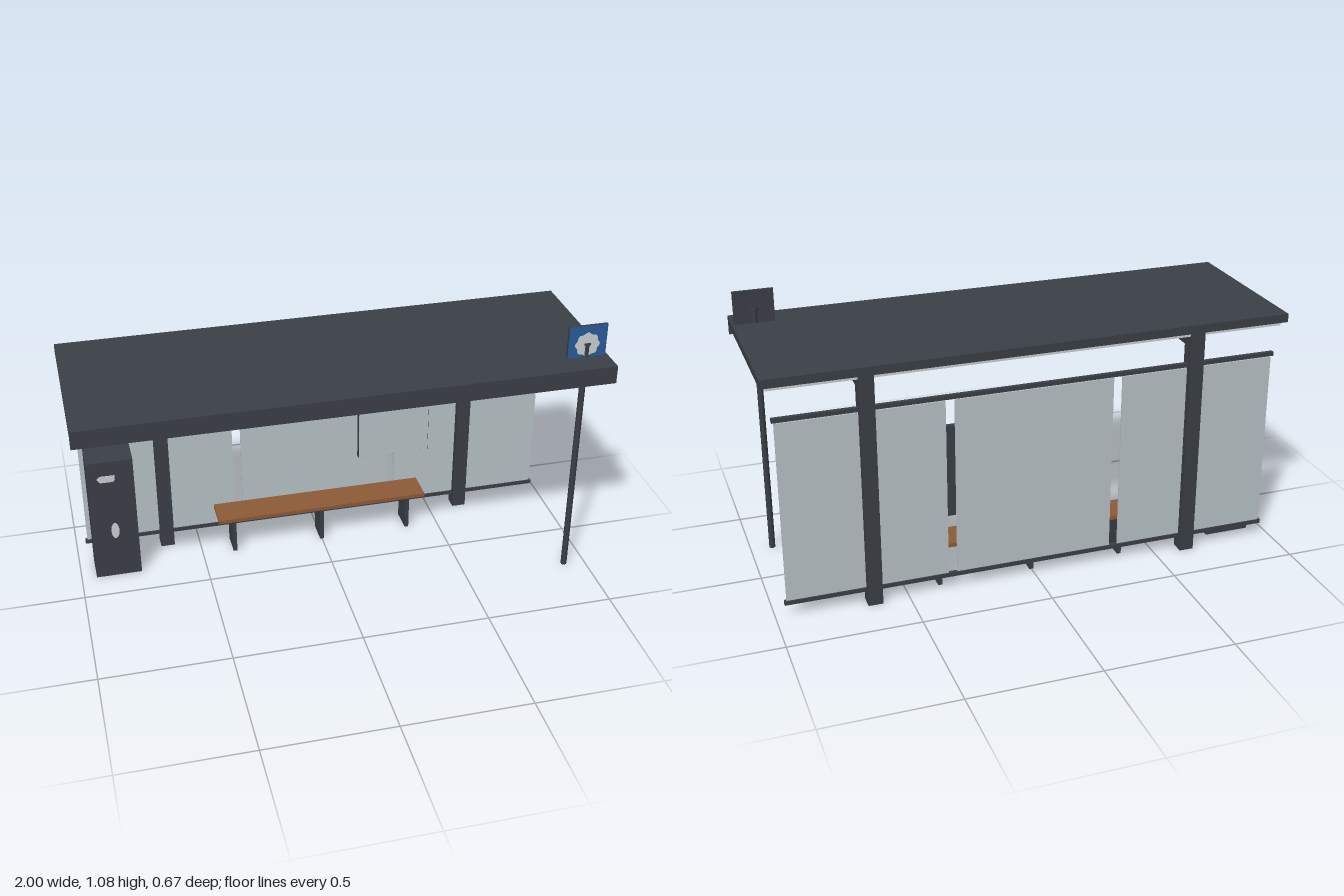
import * as THREE from 'three';

const material = (name, color) => {
  const m = new THREE.MeshStandardMaterial({ color });
  m.name = name;
  return m;
};

export function createModel() {
  const group = new THREE.Group();
  const steel = material('dark steel', 0x3b4047);
  const glass = material('frosted glass', 0xb9c4c8);
  const pale = material('pale panel', 0xcdd2d4);
  const blue = material('blue panel', 0x2a5c9c);
  const wood = material('wood', 0x8f5c38);

  const add = (name, geometry, mat) => {
    const mesh = new THREE.Mesh(geometry, mat);
    mesh.name = name;
    group.add(mesh);
    return mesh;
  };
  // Box given by its limits on each axis
  const box = (name, mat, [x0, x1], [y0, y1], [z0, z1]) => {
    const mesh = add(name, new THREE.BoxGeometry(x1 - x0, y1 - y0, z1 - z0), mat);
    mesh.position.set((x0 + x1) / 2, (y0 + y1) / 2, (z0 + z1) / 2);
    return mesh;
  };
  // Thin flat plate cut from a shape, facing front
  const plate = (name, mat, shape, x, y, z) => {
    const geometry = new THREE.ExtrudeGeometry(shape, { depth: 0.003, bevelEnabled: false, curveSegments: 10 });
    add(name, geometry, mat).position.set(x, y, z);
  };
  const ellipse = (rx, ry) => new THREE.Shape().absellipse(0, 0, rx, ry, 0, Math.PI * 2);

  // Roof with front lip and inset ceiling
  box('roof', steel, [-1, 1], [0.917, 0.95], [-0.337, 0.337]);
  box('roofFrontLip', steel, [-1, 1], [0.88, 0.918], [0.321, 0.337]);
  box('ceiling', pale, [-0.98, 0.98], [0.901, 0.917], [-0.32, 0.313]);

  // Posts and roof beams
  for (const x of [-0.632, 0.632]) {
    box('post', steel, [x - 0.028, x + 0.028], [0, 0.917], [-0.33, -0.275]);
    box('roofBeam', steel, [x - 0.022, x + 0.022], [0.853, 0.902], [-0.28, 0.27]);
  }

  // Back wall: rails and glass panes
  for (const y of [0.059, 0.783]) {
    box('wallRail', steel, [-0.965, 0.965], [y - 0.008, y + 0.008], [-0.31, -0.294]);
  }
  for (const [x0, x1] of [[-0.957, -0.342], [-0.308, 0.308], [0.342, 0.957]]) {
    box('glassPane', glass, [x0, x1], [0.067, 0.77], [-0.305, -0.299]);
  }

  // Timetable case
  box('timetableCase', steel, [0.182, 0.482], [0.304, 0.667], [-0.299, -0.281]);
  box('timetableSheet', glass, [0.184, 0.48], [0.306, 0.622], [-0.282, -0.278]);
  box('timetableHeader', blue, [0.183, 0.481], [0.622, 0.666], [-0.282, -0.278]);

  // Bench
  box('benchSeat', wood, [-0.433, 0.433], [0.157, 0.173], [-0.274, -0.148]);
  for (const x of [-0.367, 0, 0.367]) {
    box('benchLeg', steel, [x - 0.008, x + 0.008], [0, 0.157], [-0.271, -0.172]);
  }

  // Free-standing cabinet with two pale marks on its front
  box('cabinet', steel, [-0.941, -0.76], [0, 0.533], [-0.247, -0.122]);
  const slot = new THREE.Shape();
  slot.moveTo(-0.035, 0.002);
  slot.lineTo(-0.022, 0.014);
  slot.lineTo(0.035, 0.014);
  slot.lineTo(0.035, -0.006);
  slot.lineTo(0.026, -0.014);
  slot.lineTo(-0.022, -0.014);
  plate('cabinetSlot', pale, slot, -0.869, 0.457, -0.122);
  plate('cabinetBadge', pale, ellipse(0.016, 0.035), -0.85, 0.215, -0.122);

  // Stop sign on a pole that passes through the roof
  const poleX = 0.915, poleZ = 0.231;
  add('signPole', new THREE.CylinderGeometry(0.012, 0.012, 1, 10), steel).position.set(poleX, 0.5, poleZ);
  add('poleCap', new THREE.CylinderGeometry(0.016, 0.016, 0.008, 10), steel).position.set(poleX, 1.003, poleZ);
  box('signBoard', steel, [0.84, 0.992], [0.925, 1.077], [poleZ - 0.006, poleZ + 0.004]);
  box('signFace', blue, [0.841, 0.991], [0.926, 1.076], [poleZ + 0.003, poleZ + 0.006]);
  const disc = new THREE.Shape();
  for (let i = 0; i < 48; i++) {
    const a = (i / 48) * Math.PI * 2;
    const r = 0.046 + 0.003 * Math.cos(a * 8);
    disc[i ? 'lineTo' : 'moveTo'](r * Math.cos(a), r * Math.sin(a));
  }
  plate('signDisc', pale, disc, poleX, 1.001, poleZ + 0.005);

  return group;
}
